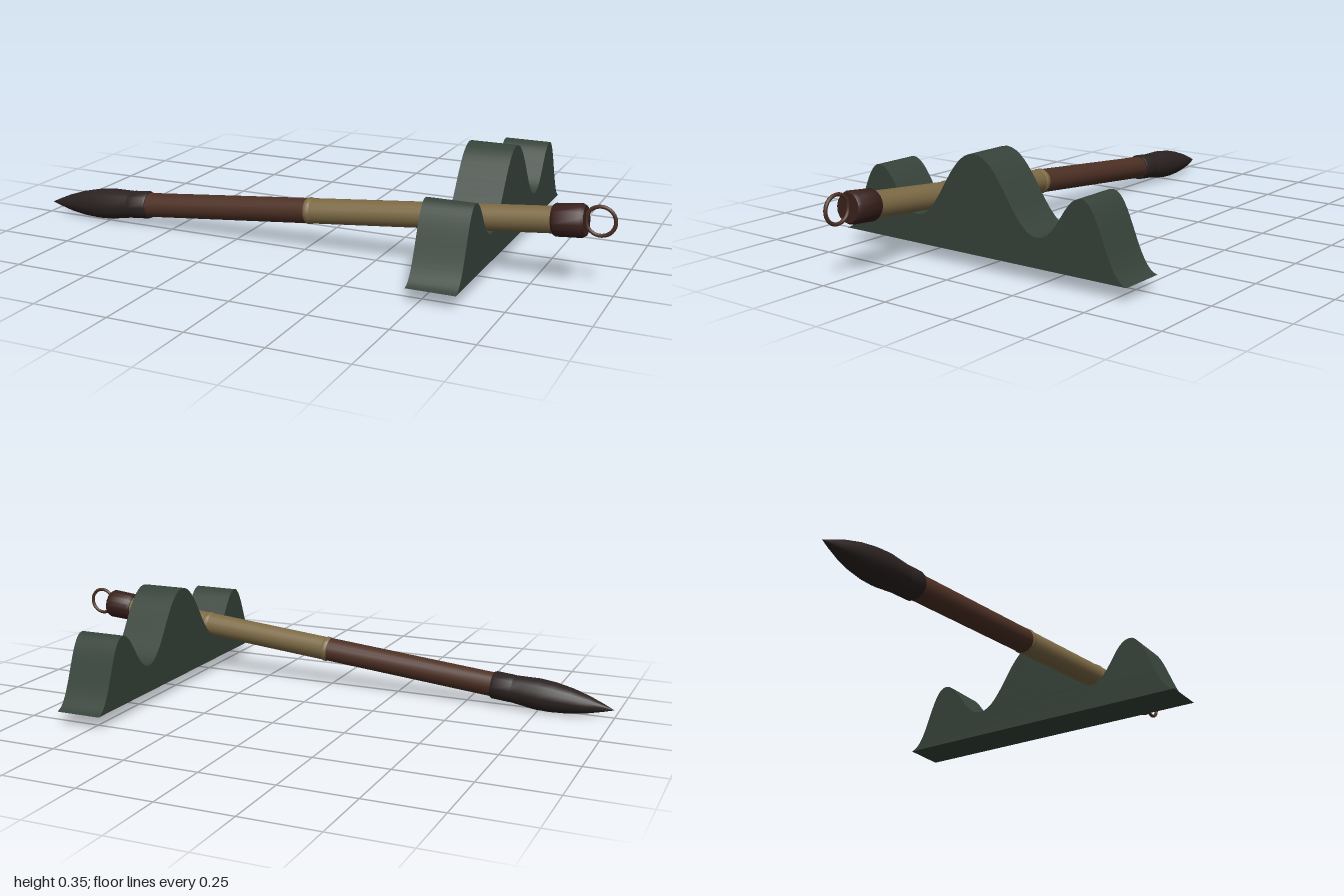
import * as THREE from 'three';
import { toCreasedNormals } from 'three/addons/utils/BufferGeometryUtils.js';

const mat = (color) => new THREE.MeshStandardMaterial({ color, roughness: 0.8 });

function addMesh(parent, name, geometry, material) {
  const mesh = new THREE.Mesh(geometry, material);
  mesh.name = name;
  parent.add(mesh);
  return mesh;
}

// Turned part lying along x; profile is a list of [position along x, radius]
function turned(profile, sides = 16) {
  const pts = profile.map(([s, r]) => new THREE.Vector2(r, s));
  return toCreasedNormals(new THREE.LatheGeometry(pts, sides).rotateZ(-Math.PI / 2), 0.7);
}

// Closed cylinder-like part from a to b
const rod = (a, b, r) => turned([[a, 0], [a, r], [b, r], [b, 0]]);

export function createModel() {
  const model = new THREE.Group();
  model.name = 'brushOnRest';
  const bristleMat = mat(0x2b2221);
  const brown = mat(0x4d3024);
  const tan = mat(0x7d6a45);
  const capMat = mat(0x38201c);
  const green = mat(0x36433a);

  // Brush, tilted up towards the ring end
  const brush = new THREE.Group();
  brush.name = 'brush';
  brush.position.set(0, 0.133, 0.235);
  brush.rotation.z = 0.096;
  model.add(brush);

  const tuft = [[-1.005, 0], [-0.97, 0.013], [-0.92, 0.029], [-0.86, 0.043], [-0.8, 0.051],
    [-0.75, 0.053], [-0.7, 0.049], [-0.66, 0.046]];
  addMesh(brush, 'bristles', turned(tuft), bristleMat);
  addMesh(brush, 'ferrule', turned([[-0.68, 0.045], [-0.66, 0.047], [-0.6, 0.047], [-0.595, 0.044], [-0.595, 0]]), bristleMat);
  addMesh(brush, 'lowerHandle', rod(-0.61, 0.01, 0.041), brown);
  addMesh(brush, 'upperHandle', rod(0.005, 0.83, 0.041), tan);

  // Slightly raised joints on the handle
  for (const s of [0.015, 0.49]) {
    addMesh(brush, 'handleJoint', turned([[s - 0.01, 0.041], [s - 0.005, 0.0435], [s + 0.005, 0.0435], [s + 0.01, 0.041]]), tan);
  }

  addMesh(brush, 'endCap', turned([[0.812, 0], [0.812, 0.044], [0.82, 0.05], [0.9, 0.051], [0.91, 0.045], [0.91, 0]]), capMat);
  const ring = addMesh(brush, 'hangingRing', new THREE.TorusGeometry(0.044, 0.006, 8, 32), brown);
  ring.position.x = 0.952;

  // Rest with three rounded peaks, drawn in the z-y plane and extruded along x
  const outline = new THREE.Shape();
  outline.moveTo(-0.55, 0.05);
  outline.lineTo(0.55, 0.05);
  outline.bezierCurveTo(0.48, 0.06, 0.458, 0.28, 0.395, 0.28);
  outline.bezierCurveTo(0.33, 0.28, 0.31, 0.142, 0.235, 0.142);
  outline.bezierCurveTo(0.145, 0.142, 0.1, 0.36, 0, 0.36);
  outline.bezierCurveTo(-0.1, 0.36, -0.145, 0.142, -0.235, 0.142);
  outline.bezierCurveTo(-0.31, 0.142, -0.33, 0.28, -0.395, 0.28);
  outline.bezierCurveTo(-0.458, 0.28, -0.48, 0.06, -0.55, 0.05);
  const restGeo = new THREE.ExtrudeGeometry(outline, { depth: 0.155, bevelEnabled: false, curveSegments: 16 });
  restGeo.rotateY(Math.PI / 2).translate(0.465, 0, 0);
  addMesh(model, 'brushRest', toCreasedNormals(restGeo, 0.6), green);

  return model;
}
